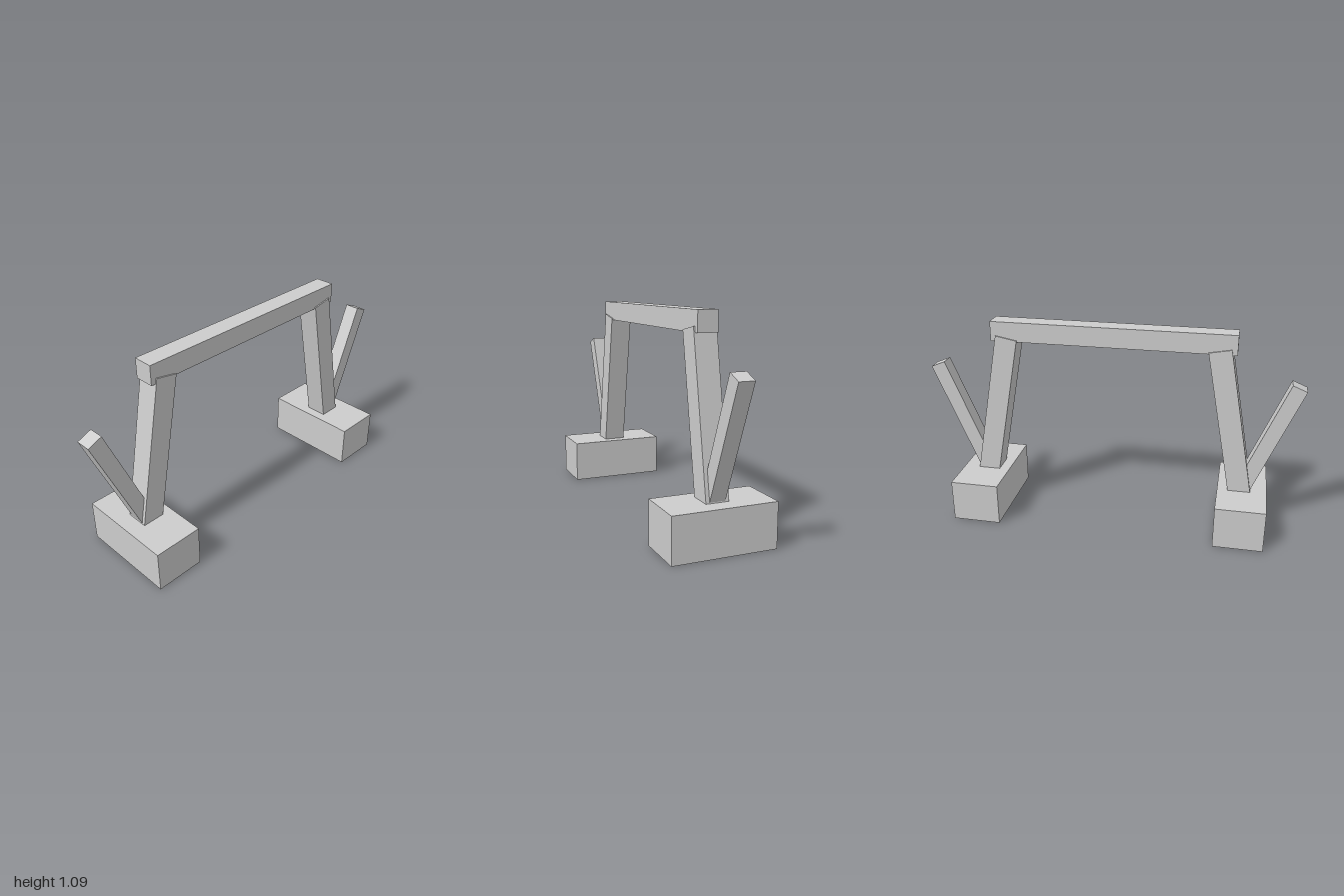
import * as THREE from 'three';

export function createModel() {
  const model = new THREE.Group();
  model.name = 'beamFrame';
  const grey = new THREE.MeshStandardMaterial({ color: 0xcccccc });
  grey.name = 'light grey';

  function block(name, w, h, d, x, y) {
    const mesh = new THREE.Mesh(new THREE.BoxGeometry(w, h, d), grey);
    mesh.name = name;
    mesh.position.set(x, y, 0);
    model.add(mesh);
    return mesh;
  }

  // Square-ended bar leaning in the xy plane, from bottom to top centre
  function bar(name, width, depth, x0, y0, x1, y1) {
    const dx = x1 - x0, dy = y1 - y0;
    const mesh = block(name, width, Math.hypot(dx, dy), depth, (x0 + x1) / 2, (y0 + y1) / 2);
    mesh.rotation.z = -Math.atan2(dx, dy);
  }

  // Top beam across both posts
  block('topBeam', 1.285, 0.105, 0.104, 0, 1.0375);

  // Footing, inward-leaning post and outward-leaning strut on each side
  for (const [side, s] of [['left', 1], ['right', -1]]) {
    block(side + 'Footing', 0.262, 0.228, 0.532, s * 0.718, 0.114);
    bar(side + 'Post', 0.117, 0.118, s * 0.708, 0.2, s * 0.557, 1.004);
    bar(side + 'Strut', 0.081, 0.08, s * 0.704, 0.2, s * 0.9625, 0.829);
  }
  return model;
}
